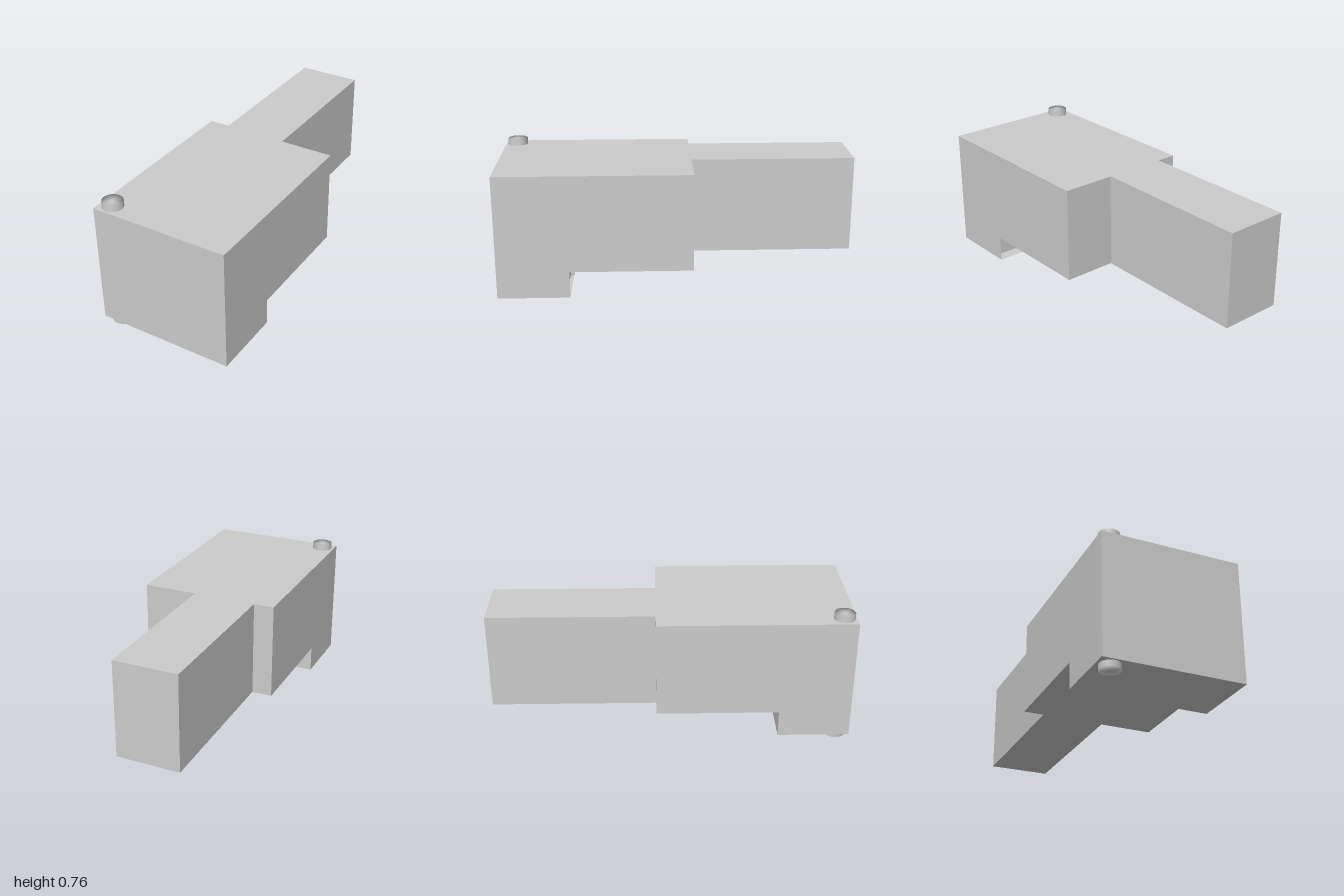
import * as THREE from 'three';
import { mergeVertices } from 'three/addons/utils/BufferGeometryUtils.js';

const L = -0.39, R = 0.39;            // body sides
const A = -0.275, B = 0.085;          // arm sides
const FRONT = 1, STEP = -0.08, BACK = -1;
const TOP = 0.725, UNDER = 0.18, FOOT = 0.03, FOOT_BACK = 0.6;
const SLOT_X = 0.08, SLOT_Y = 0.13, SLOT_Z = 0.67;

// Flat-shaded geometry from four-cornered faces, counterclockwise from outside
function fromQuads(quads) {
  const pos = [];
  for (const [a, b, c, d] of quads) pos.push(...a, ...b, ...c, ...a, ...c, ...d);
  const g = new THREE.BufferGeometry();
  g.setAttribute('position', new THREE.Float32BufferAttribute(pos, 3));
  g.computeVertexNormals();
  return g;
}

// Upright walls along a run of [x, z] points
function walls(points, low, high) {
  return points.slice(1).map(([x2, z2], i) => {
    const [x1, z1] = points[i];
    return [[x1, low, z1], [x2, low, z2], [x2, high, z2], [x1, high, z1]];
  });
}

// Level rectangle facing up or down
function level(x1, x2, zFront, zBack, y, up) {
  const q = [[x1, y, zFront], [x2, y, zFront], [x2, y, zBack], [x1, y, zBack]];
  return up ? q : q.reverse();
}

// Upright rectangle facing the back
const rear = (x1, x2, y1, y2, z) => walls([[x2, z], [x1, z]], y1, y2)[0];

export function createModel() {
  const group = new THREE.Group();
  const add = (name, geometry, material) => {
    const mesh = new THREE.Mesh(geometry, material);
    mesh.name = name;
    group.add(mesh);
    return mesh;
  };
  const flat = new THREE.MeshStandardMaterial({
    color: 0xcccccc, flatShading: true, side: THREE.DoubleSide,
  });
  const smooth = new THREE.MeshStandardMaterial({ color: 0xcccccc });

  // Wide front block, open to the arm behind and the foot below
  add('body', fromQuads([
    ...walls([[A, STEP], [L, STEP], [L, FRONT], [R, FRONT], [R, STEP], [B, STEP]], UNDER, TOP),
    level(L, R, FRONT, STEP, TOP, true),
    level(L, R, FOOT_BACK, STEP, UNDER, false),
  ]), flat);

  // Narrow arm reaching backward
  add('arm', fromQuads([
    ...walls([[B, STEP], [B, BACK], [A, BACK], [A, STEP]], UNDER, TOP),
    level(A, B, STEP, BACK, TOP, true),
    level(A, B, STEP, BACK, UNDER, false),
  ]), flat);

  // Foot under the front, with a thin-walled slot in its rear face
  add('foot', fromQuads([
    ...walls([[L, FOOT_BACK], [L, FRONT], [R, FRONT], [R, FOOT_BACK]], FOOT, UNDER),
    level(L, R, FRONT, FOOT_BACK, FOOT, false),
    rear(L, SLOT_X, FOOT, UNDER, FOOT_BACK),
    rear(SLOT_X, R, SLOT_Y, UNDER, FOOT_BACK),
  ]), flat);
  add('footSlot', fromQuads([
    rear(SLOT_X, R, FOOT, SLOT_Y, SLOT_Z),
    level(SLOT_X, R, SLOT_Z, FOOT_BACK, SLOT_Y, false),
    ...walls([[SLOT_X, SLOT_Z], [SLOT_X, FOOT_BACK]], FOOT, SLOT_Y),
  ]), flat);

  // Hinge pin through the front corner, normals shared over its rims
  let pin = new THREE.CylinderGeometry(0.057, 0.057, 0.76, 32);
  pin.deleteAttribute('normal');
  pin.deleteAttribute('uv');
  pin = mergeVertices(pin);
  pin.computeVertexNormals();
  add('hingePin', pin, smooth).position.set(-0.318, 0.38, 0.932);

  return group;
}
